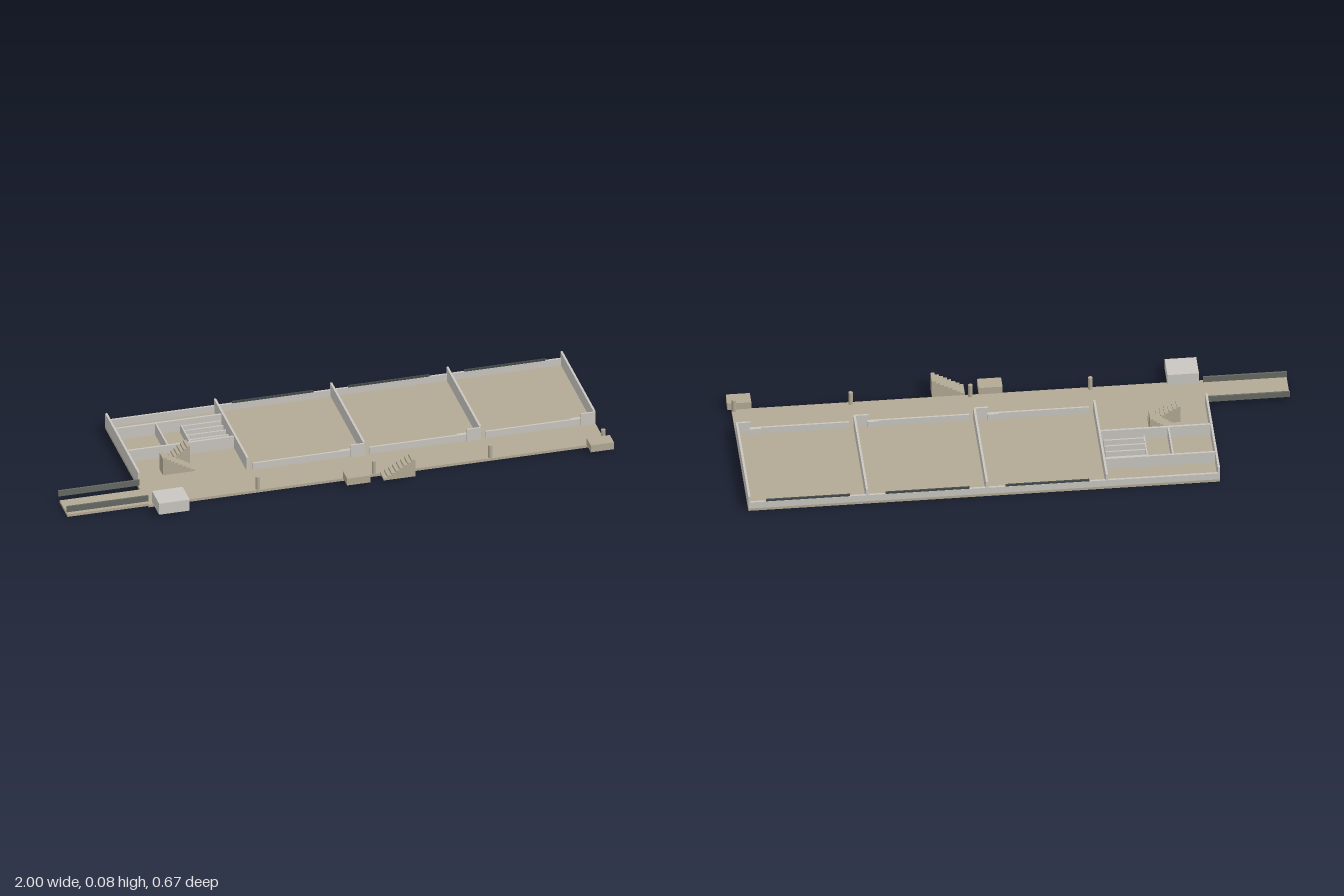
import * as THREE from 'three';

export function createModel() {
  const model = new THREE.Group();
  const mat = (name, color) => {
    const m = new THREE.MeshStandardMaterial({ color });
    m.name = name;
    return m;
  };
  const stone = mat('beige concrete', 0xb2a994);
  const plaster = mat('light grey plaster', 0xc9c6c0);
  const steel = mat('dark rail', 0x666a62);
  const glass = mat('dark glazing', 0x414848);

  // Box given by its lower and upper limits on each axis
  function box(name, material, x0, x1, y0, y1, z0, z1) {
    const mesh = new THREE.Mesh(new THREE.BoxGeometry(x1 - x0, y1 - y0, z1 - z0), material);
    mesh.position.set((x0 + x1) / 2, (y0 + y1) / 2, (z0 + z1) / 2);
    mesh.name = name;
    model.add(mesh);
    return mesh;
  }

  // Solid flight of steps rising from xLow to xHigh
  function stair(name, xLow, xHigh, z0, z1, steps = 8) {
    const y0 = 0.01, rise = 0.068 / steps, run = (xHigh - xLow) / steps;
    const s = new THREE.Shape();
    s.moveTo(xLow, y0);
    for (let i = 0; i < steps; i++) {
      s.lineTo(xLow + i * run, y0 + (i + 1) * rise);
      s.lineTo(xLow + (i + 1) * run, y0 + (i + 1) * rise);
    }
    s.lineTo(xHigh, y0);
    s.closePath();
    const mesh = new THREE.Mesh(
      new THREE.ExtrudeGeometry(s, { depth: z1 - z0, bevelEnabled: false }), stone);
    mesh.position.z = z0;
    mesh.name = name;
    model.add(mesh);
  }

  const base = 0.01, top = 0.062, low = 0.036, t = 0.008;

  // Floor and side walkway
  box('floorSlab', stone, -0.703, 0.985, 0, base, -0.332, 0.255);
  box('walkway', stone, -1, -0.703, 0, base, 0.14, 0.245);
  for (const z of [0.12, 0.237])
    box('walkwayRail', steel, -1, -0.7, 0.016, 0.039, z - 0.003, z + 0.003);

  // Full-height cross walls
  const bays = [-0.298, 0.131, 0.56, 0.981];
  for (const x of [-0.699, ...bays])
    box('crossWall', plaster, x - t / 2, x + t / 2, base, top, -0.331, 0.11);

  // Low back wall
  box('backWall', plaster, -0.695, 0.98, base, low, -0.331, -0.323);

  // Three rooms: window strip, low front wall and door leaf
  for (let i = 0; i < 3; i++) {
    const x0 = bays[i], x1 = bays[i + 1], mid = -0.085 + i * 0.428;
    box('windowStrip', glass, mid - 0.15, mid + 0.15, low, 0.043, -0.33, -0.324);
    box('frontWall', plaster, x0 + 0.02, x1 - 0.045, base, low, 0.103, 0.11);
    box('doorLeaf', plaster, x1 - 0.05, x1, base, 0.058, 0.109, 0.116);
    box('doorStop', plaster, x1 - 0.085, x1 - 0.045, base, low, 0.097, 0.103);
  }

  // Service rooms and stalls
  for (const z of [-0.228, -0.064])
    box('serviceWall', plaster, -0.699, -0.298, base, 0.056, z - t / 2, z + t / 2);
  box('serviceDivider', plaster, -0.548, -0.542, base, 0.056, -0.228, -0.064);
  box('stallFront', plaster, -0.458, -0.453, base, 0.042, -0.215, -0.09);
  for (let i = 0; i < 4; i++) {
    const z = -0.205 + i * 0.034;
    box('stallPartition', plaster, -0.455, -0.31, base, 0.042, z - 0.003, z + 0.003);
  }

  // Stairs: two opposed inner flights and one outside
  stair('lowerFlight', -0.482, -0.598, 0.018, 0.064);
  stair('upperFlight', -0.575, -0.482, -0.046, 0.003);
  stair('outerStair', 0.15, 0.268, 0.255, 0.308);

  // Blocks along the front edge
  for (const x of [0.015, 0.914])
    box('frontBlock', stone, x, x + 0.086, base, 0.038, 0.253, 0.308);
  box('cornerBlock', plaster, -0.686, -0.573, base, 0.055, 0.238, 0.333);

  // Posts on the front edge
  for (const x of [-0.298, 0.131, 0.56, 0.977]) {
    const post = new THREE.Mesh(new THREE.CylinderGeometry(0.008, 0.008, 0.05, 16), stone);
    post.position.set(x, base + 0.025, 0.246);
    post.name = 'post';
    model.add(post);
  }
  return model;
}
